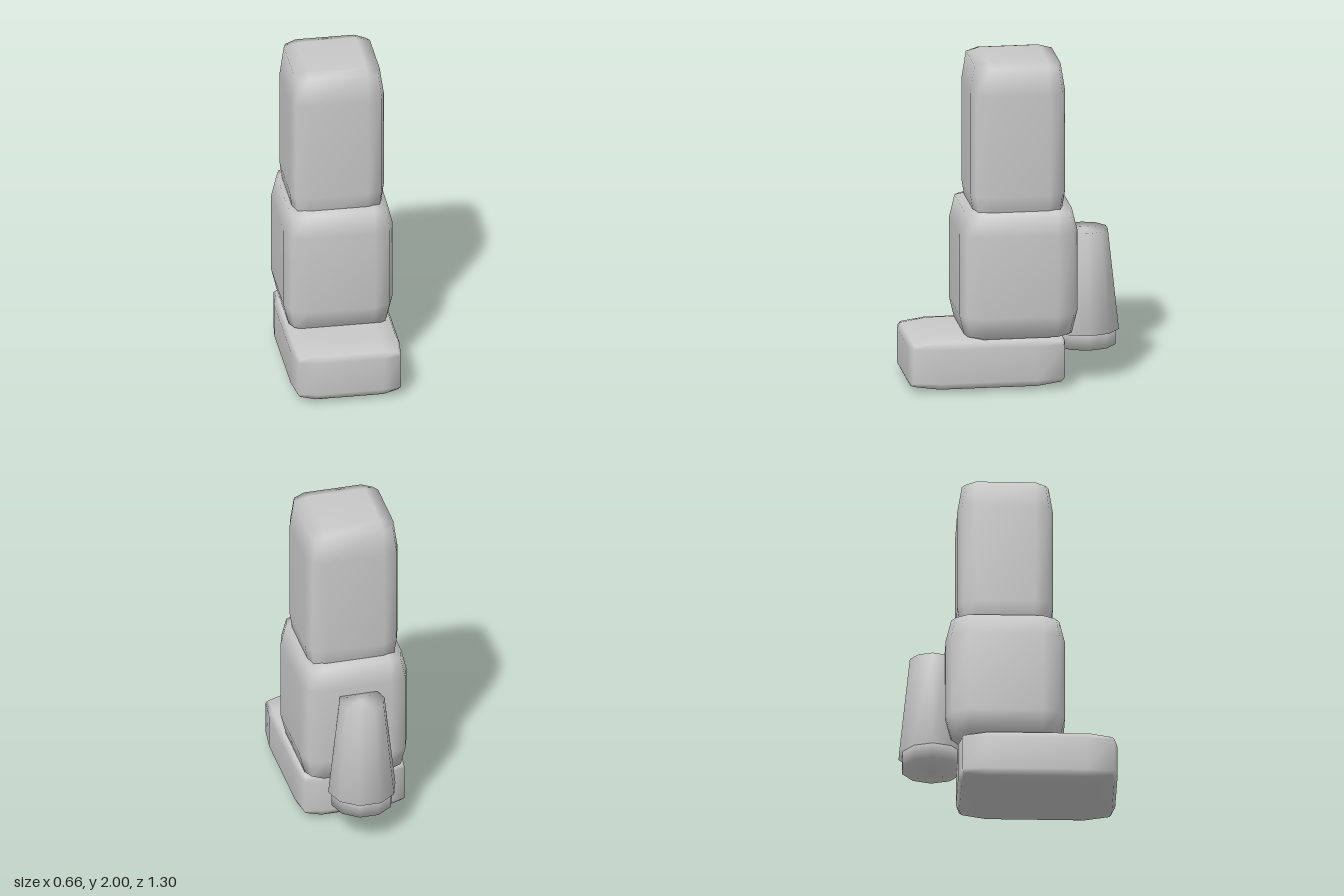
import * as THREE from 'three';
import { mergeVertices } from 'three/addons/utils/BufferGeometryUtils.js';

// Weld shared corners so that shading runs smoothly over every edge.
function smooth(geometry) {
  geometry.deleteAttribute('normal');
  geometry.deleteAttribute('uv');
  geometry.clearGroups();
  const welded = mergeVertices(geometry, 1e-4);
  welded.computeVertexNormals();
  return welded;
}

// Pillow-like block between two corners: a 3x3x3 box whose edges and corners are pulled in.
function softBlock(min, max, inset) {
  const geometry = new THREE.BoxGeometry(2, 2, 2, 3, 3, 3);
  const pos = geometry.attributes.position;
  for (let i = 0; i < pos.count; i++) {
    const p = [pos.getX(i), pos.getY(i), pos.getZ(i)];
    const outer = p.filter((c) => Math.abs(c) > 0.9).length;
    const pull = [0, 0, 1, 1.7][outer];
    const q = p.map((c, a) => {
      const half = (max[a] - min[a]) / 2;
      const reach = Math.abs(c) > 0.9 ? half - inset[a] * pull : half * 0.62;
      return (min[a] + max[a]) / 2 + Math.sign(c) * reach;
    });
    pos.setXYZ(i, q[0], q[1], q[2]);
  }
  return smooth(geometry);
}

// Ten-sided drum with its points on the x axis.
function drum(topRadius, bottomRadius, bottom, top) {
  const geometry = new THREE.CylinderGeometry(topRadius, bottomRadius, top - bottom, 10);
  geometry.rotateY(Math.PI / 10);
  geometry.translate(0, (top + bottom) / 2, -0.45);
  return smooth(geometry);
}

export function createModel() {
  const model = new THREE.Group();
  model.name = 'stackedLeg';
  const grey = new THREE.MeshStandardMaterial({ color: 0xc8c8c8 });
  grey.name = 'light grey';

  const add = (name, geometry) => {
    const mesh = new THREE.Mesh(geometry, grey);
    mesh.name = name;
    model.add(mesh);
  };

  // Stacked blocks, from the ground up
  add('foot', softBlock([-0.33, 0, -0.3], [0.33, 0.335, 0.65], [0.02, 0.025, 0.02]));
  add('lowerBlock', softBlock([-0.33, 0.3, -0.375], [0.33, 1.105, 0.337], [0.033, 0.018, 0.033]));
  add('upperBlock', softBlock([-0.285, 1.0, -0.305], [0.285, 2.0, 0.267], [0.025, 0.022, 0.027]));

  // Thruster behind the lower block
  add('thrusterCone', drum(0.14, 0.207, 0.29, 0.905));
  add('thrusterNozzle', drum(0.186, 0.186, 0.195, 0.32));

  return model;
}
